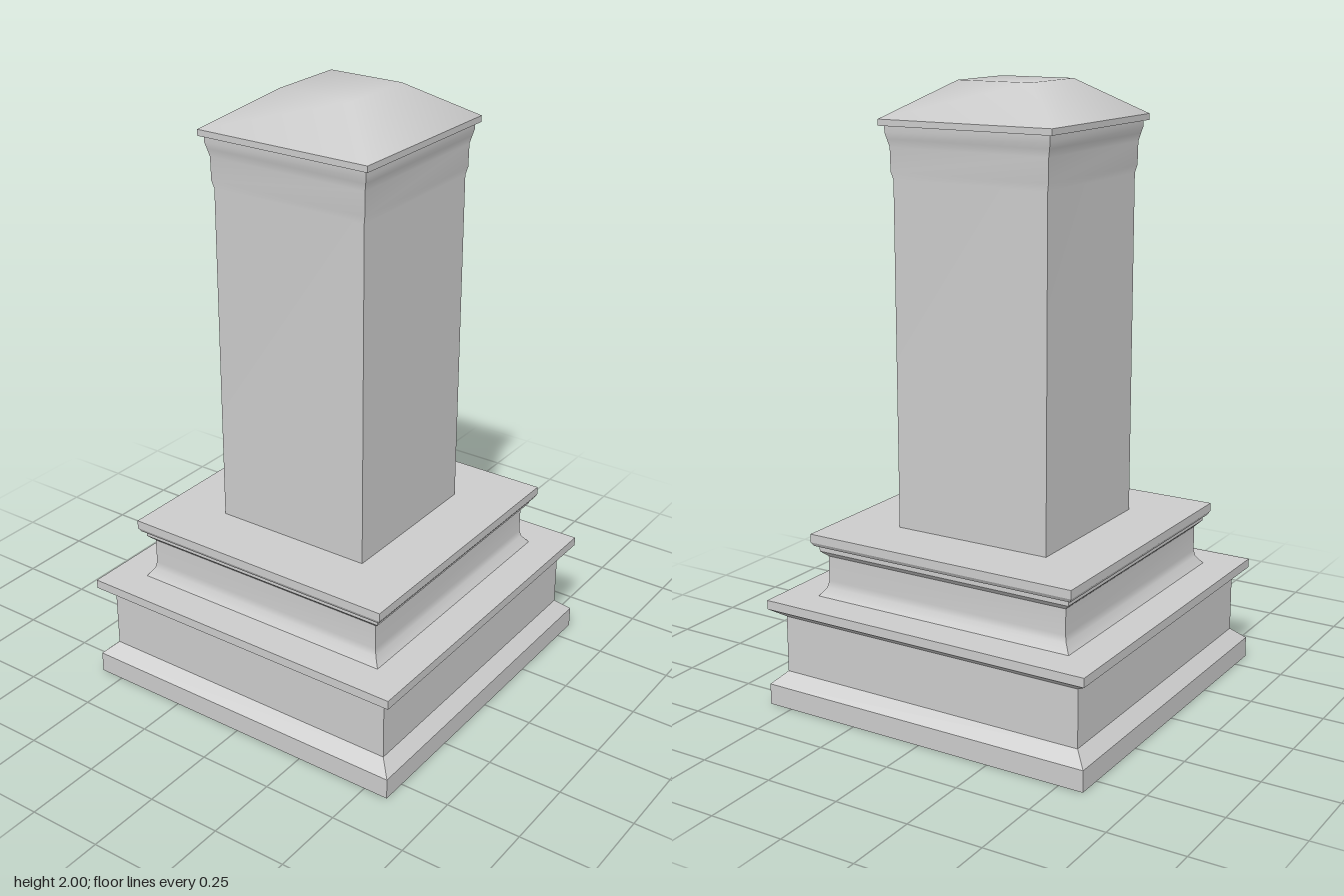
import * as THREE from 'three';

const stone = new THREE.MeshStandardMaterial({ color: 0xcccccc });
stone.name = 'greyStone';

// Square moulding: sweeps a [halfWidth, y] profile round four mitred sides.
// Each side is smooth along its profile and sharp at the corners.
function addSides(profile, positions, normals) {
  const pos = [], index = [];
  profile.forEach(([w, y]) => pos.push(-w, y, w, w, y, w));
  for (let i = 0; i < profile.length - 1; i++) {
    const a = i * 2;
    index.push(a, a + 1, a + 3, a, a + 3, a + 2);
  }
  const side = new THREE.BufferGeometry();
  side.setAttribute('position', new THREE.Float32BufferAttribute(pos, 3));
  side.setIndex(index);
  side.computeVertexNormals();
  for (let k = 0; k < 4; k++) {
    const g = side.toNonIndexed().rotateY(k * Math.PI / 2);
    positions.push(...g.attributes.position.array);
    normals.push(...g.attributes.normal.array);
  }
}

// Builds one part from several smooth runs; runs meet at sharp edges.
function moulding(name, runs) {
  const positions = [], normals = [];
  runs.forEach(run => addSides(run, positions, normals));
  const geo = new THREE.BufferGeometry();
  geo.setAttribute('position', new THREE.Float32BufferAttribute(positions, 3));
  geo.setAttribute('normal', new THREE.Float32BufferAttribute(normals, 3));
  const mesh = new THREE.Mesh(geo, stone);
  mesh.name = name;
  return mesh;
}

// Splits a profile into single straight runs, so every edge is sharp.
const sharp = points => points.slice(1).map((p, i) => [points[i], p]);

// Truncated pyramid with normals shared between slopes and flat top.
function capRoof(low, high, y0, y1) {
  const pos = [];
  for (const [w, y] of [[low, y0], [high, y1]]) {
    pos.push(-w, y, w, w, y, w, w, y, -w, -w, y, -w);
  }
  const index = [4, 5, 6, 4, 6, 7];
  for (let i = 0; i < 4; i++) {
    const j = (i + 1) % 4;
    index.push(i, j, j + 4, i, j + 4, i + 4);
  }
  const geo = new THREE.BufferGeometry();
  geo.setAttribute('position', new THREE.Float32BufferAttribute(pos, 3));
  geo.setIndex(index);
  geo.computeVertexNormals();
  const mesh = new THREE.Mesh(geo, stone);
  mesh.name = 'capRoof';
  return mesh;
}

export function createModel() {
  const group = new THREE.Group();
  group.name = 'squarePillar';

  // Wide plinth with chamfered foot and projecting ledge
  group.add(moulding('basePlinth', sharp([
    [0, 0], [0.583, 0], [0.583, 0.07], [0.54, 0.11], [0.54, 0.3],
    [0.583, 0.33], [0.583, 0.36], [0.44, 0.36],
  ])));

  // Upper plinth: flared cove, then stepped cornice
  group.add(moulding('upperPlinth', [
    [[0.465, 0.36], [0.445, 0.388], [0.44, 0.41], [0.44, 0.494]],
    ...sharp([
      [0.44, 0.494], [0.453, 0.506], [0.46, 0.513], [0.46, 0.527],
      [0.472, 0.532], [0.48, 0.545], [0.48, 0.573], [0.25, 0.573],
    ]),
  ]));

  // Shaft with a soft flare under the cap
  group.add(moulding('shaft', [[
    [0.275, 0.573], [0.275, 1.7], [0.281, 1.725], [0.282, 1.8],
    [0.288, 1.825], [0.293, 1.845], [0.293, 1.868],
  ]]));

  // Thin cap slab and its sloped roof
  group.add(moulding('capSlab', sharp([
    [0.27, 1.866], [0.307, 1.866], [0.307, 1.886],
  ])));
  group.add(capRoof(0.307, 0.13, 1.886, 2));

  return group;
}
